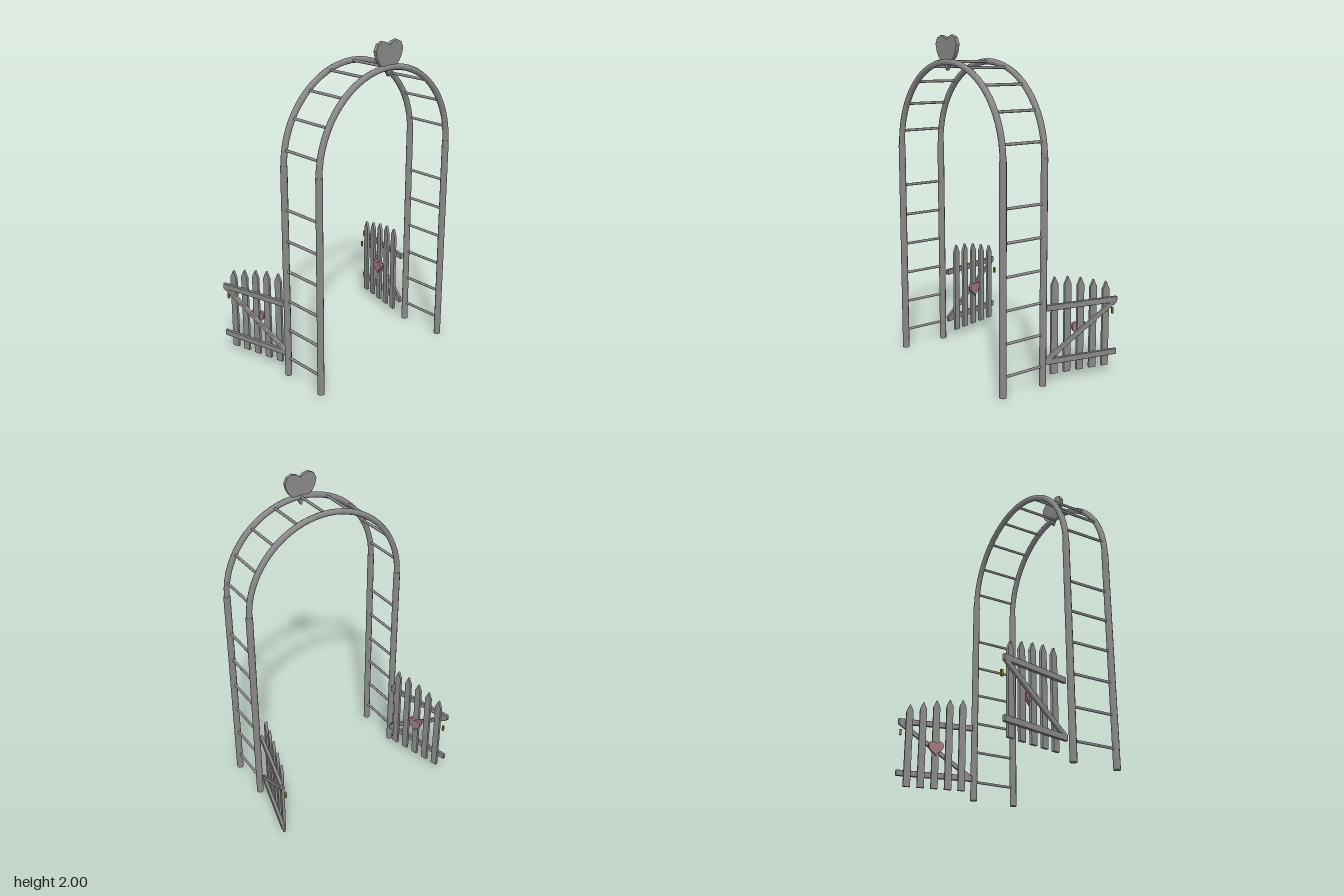
import * as THREE from 'three';
import { RoundedBoxGeometry } from 'three/addons/geometries/RoundedBoxGeometry.js';

const grey = new THREE.MeshStandardMaterial({ color: 0x8a8a8a });
grey.name = 'grey paint';
const pink = new THREE.MeshStandardMaterial({ color: 0xa07880 });
pink.name = 'dusty pink';
const brass = new THREE.MeshStandardMaterial({ color: 0x857530 });
brass.name = 'brass';

const ARCH_R = 0.52, SPRING = 1.33, FRONT_Z = 0.38, BACK_Z = 0.09;

function add(parent, name, geometry, material, x = 0, y = 0, z = 0) {
  const mesh = new THREE.Mesh(geometry, material);
  mesh.name = name;
  mesh.position.set(x, y, z);
  parent.add(mesh);
  return mesh;
}

// Extruded outline, centred on its thickness
function plate(points, depth) {
  const shape = new THREE.Shape(points.map(([x, y]) => new THREE.Vector2(x, y)));
  return new THREE.ExtrudeGeometry(shape, { depth, bevelEnabled: false }).translate(0, 0, -depth / 2);
}

// Heart about 0.21 wide and 0.2 tall, tip at the origin
function heart(scaleX, scaleY, depth) {
  const half = [[0.018, 0.03], [0.045, 0.052], [0.075, 0.075], [0.096, 0.11],
    [0.106, 0.15], [0.09, 0.184], [0.055, 0.2], [0.02, 0.19]];
  const outline = [[0, 0], ...half, [0, 0.173],
    ...half.slice().reverse().map(([x, y]) => [-x, y])];
  return plate(outline.map(([x, y]) => [x * scaleX, y * scaleY]), depth);
}

// Gate runs along its local x from the hinge; inner is the local z sign of its inside face
function makeGate(name, inner) {
  const gate = new THREE.Group();
  gate.name = name;
  for (const y of [0.13, 0.455]) {
    add(gate, 'gateRail', new RoundedBoxGeometry(0.48, 0.036, 0.021, 1, 0.004), grey, 0.24, y, 0);
  }
  const dx = 0.46, dy = 0.31;
  const brace = add(gate, 'diagonalBrace',
    new RoundedBoxGeometry(Math.hypot(dx, dy), 0.028, 0.019, 1, 0.004), grey, 0.24, 0.2925, 0);
  brace.rotation.z = Math.atan2(dy, dx);

  // Pointed pickets, stepping down towards the latch
  [0.632, 0.626, 0.611, 0.59, 0.567].forEach((top, i) => {
    const w = 0.0215, low = 0.045, shoulder = top - 0.046;
    add(gate, 'picket', plate([[-w, low], [w, low], [w, shoulder], [0, top], [-w, shoulder]], 0.017),
      grey, 0.072 + 0.0853 * i, 0, inner * 0.0185);
  });
  add(gate, 'gateHeart', heart(0.46, 0.46, 0.021), pink, 0.242, 0.245, inner * 0.031);
  add(gate, 'latch', new THREE.BoxGeometry(0.012, 0.037, 0.011), brass, 0.467, 0.378, inner * 0.025);
  return gate;
}

export function createModel() {
  const model = new THREE.Group();
  model.name = 'gardenArch';

  // Two hoops, each a half ring on two posts
  for (const z of [FRONT_Z, BACK_Z]) {
    add(model, 'archHoop', new THREE.TorusGeometry(ARCH_R, 0.0185, 8, 32, Math.PI), grey, 0, SPRING, z);
    for (const x of [-ARCH_R, ARCH_R]) {
      const post = new THREE.CylinderGeometry(0.0215, 0.0215, SPRING, 8);
      add(model, 'post', post.rotateY(Math.PI / 8), grey, x, SPRING / 2, z);
    }
  }

  // Rungs joining the hoops
  const rung = new THREE.CylinderGeometry(0.0085, 0.0085, FRONT_Z - BACK_Z, 8).rotateX(Math.PI / 2);
  const midZ = (FRONT_Z + BACK_Z) / 2;
  for (const x of [-ARCH_R, ARCH_R]) {
    for (let i = 0; i < 6; i++) add(model, 'sideRung', rung, grey, x, 0.118 + 0.191 * i, midZ);
  }
  for (let i = -4; i <= 4; i++) {
    const a = i * Math.PI / 9;
    add(model, 'archRung', rung, grey, ARCH_R * Math.sin(a), SPRING + ARCH_R * Math.cos(a), midZ);
  }

  // Heart on top of the front hoop
  add(model, 'topHeart', heart(1, 1, 0.022), grey, 0, 1.8, 0.378);

  // Open gates hinged on the back posts
  const swing = THREE.MathUtils.degToRad(76.2);
  for (const side of [1, -1]) {
    const gate = makeGate(side > 0 ? 'leftGate' : 'rightGate', -side);
    gate.position.set(side * 0.502, 0, 0.064);
    gate.rotation.y = side > 0 ? swing : Math.PI - swing;
    model.add(gate);
  }
  return model;
}
